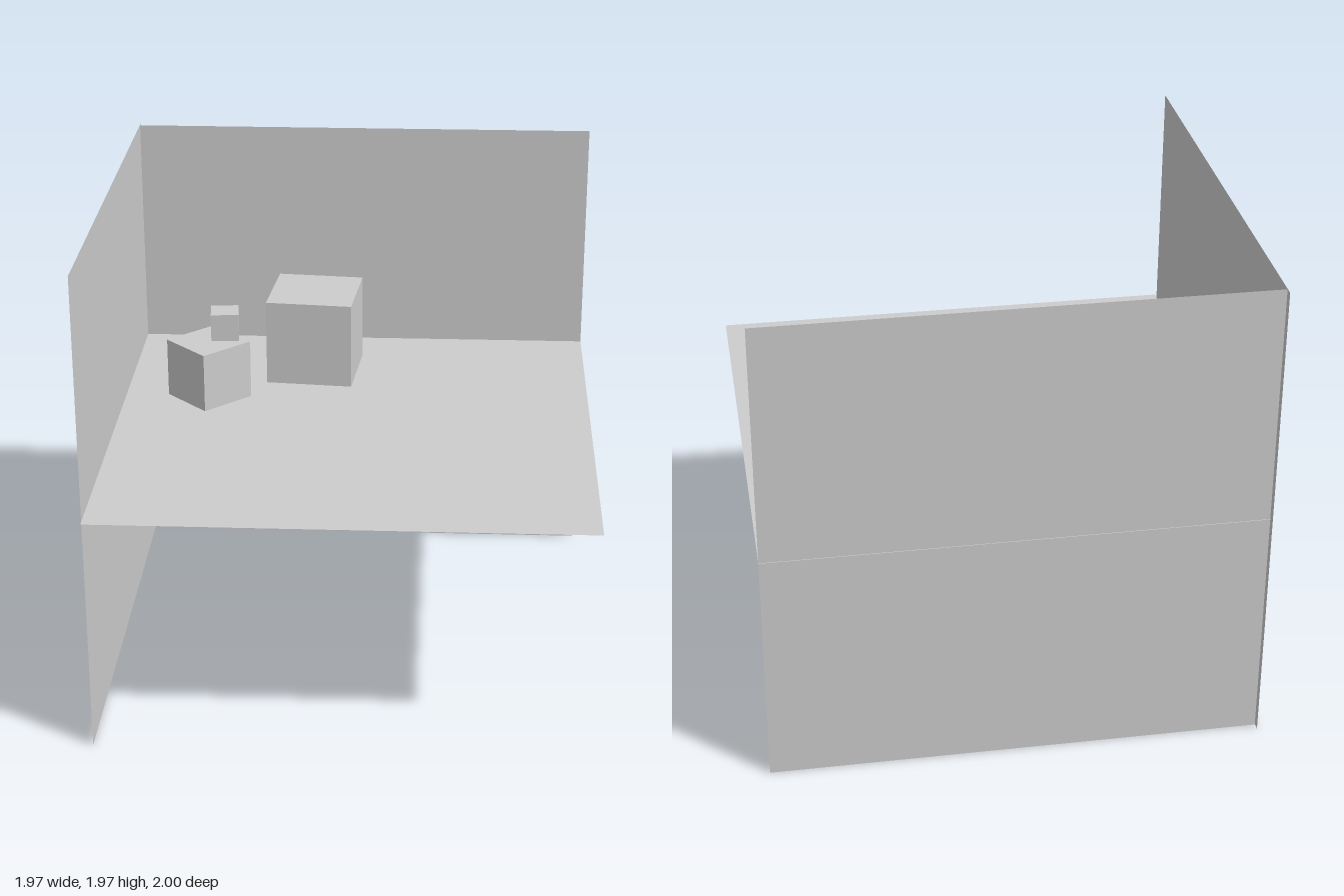
import * as THREE from 'three';

export function createModel() {
  const model = new THREE.Group();
  const grey = new THREE.MeshStandardMaterial({ color: 0xcccccc, side: THREE.DoubleSide });
  grey.name = 'plain grey';

  const SIDE = 1.97;
  const HALF = SIDE / 2;

  function add(name, geometry, position, rotation) {
    const mesh = new THREE.Mesh(geometry, grey);
    mesh.name = name;
    mesh.position.set(...position);
    mesh.rotation.set(...rotation);
    model.add(mesh);
  }

  // Three crossing square sheets: floor at mid height, wall behind, wall at the side
  const sheet = new THREE.PlaneGeometry(SIDE, SIDE);
  add('floor', sheet, [0, HALF, 0.013], [-Math.PI / 2, 0, 0]);
  add('backWall', sheet, [0, HALF, -0.969], [0, 0, 0]);
  add('sideWall', sheet, [-HALF - 0.001, HALF, -0.014], [0, Math.PI / 2, 0]);

  // Cubes: name, size, centre x, base y, centre z, turn about y
  const cubes = [
    ['largeCube', 0.368, -0.195, HALF, -0.59, -0.09],
    ['mediumCube', 0.25, -0.627, HALF + 0.002, -0.267, -0.8],
    ['smallCube', 0.117, -0.561, HALF + 0.252, -0.323, 0.085],
  ];
  for (const [name, size, x, base, z, turn] of cubes) {
    add(name, new THREE.BoxGeometry(size, size, size), [x, base + size / 2, z], [0, turn, 0]);
  }
  return model;
}
